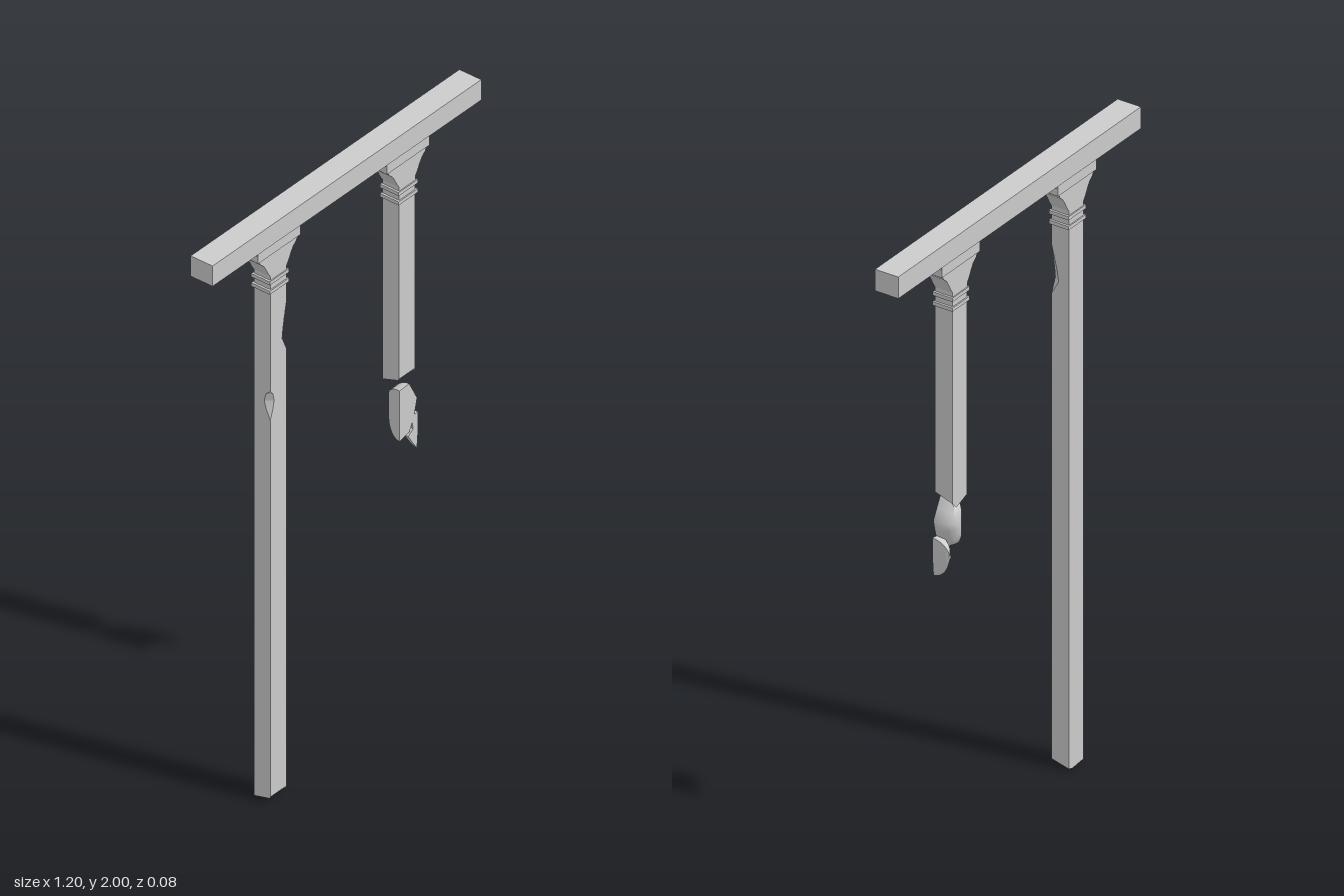
import * as THREE from 'three';
import { toCreasedNormals } from 'three/addons/utils/BufferGeometryUtils.js';

const material = new THREE.MeshStandardMaterial({ color: 0xcccccc });

function add(parent, name, geometry, x = 0, y = 0, z = 0) {
  const mesh = new THREE.Mesh(geometry, material);
  mesh.name = name;
  mesh.position.set(x, y, z);
  parent.add(mesh);
  return mesh;
}

// Skin a list of equal-length rings of [x, y, z] and close both ends
function loft(rings, crease) {
  const pos = [];
  const n = rings[0].length;
  const centre = (r) => [0, 1, 2].map((k) => r.reduce((s, p) => s + p[k], 0) / n);
  const first = rings[0], last = rings[rings.length - 1];
  const c0 = centre(first), c1 = centre(last);
  for (let i = 0; i < n; i++) {
    const k = (i + 1) % n;
    for (let j = 0; j < rings.length - 1; j++) {
      const a = rings[j][i], b = rings[j][k], c = rings[j + 1][k], d = rings[j + 1][i];
      pos.push(...a, ...b, ...c, ...a, ...c, ...d);
    }
    pos.push(...c0, ...first[k], ...first[i], ...c1, ...last[i], ...last[k]);
  }
  const g = new THREE.BufferGeometry();
  g.setAttribute('position', new THREE.Float32BufferAttribute(pos, 3));
  g.computeVertexNormals();
  return toCreasedNormals(g, crease);
}

// Post section with chipped front corners: r and l are chip sizes
const W = 0.036, D = 0.03;
function section(y, r = 0, l = 0) {
  const ys = Array.isArray(y) ? y : Array(7).fill(y);
  return [
    [W, D - r * 1.3], [W, -D], [0.018, -D], [-W, -D],
    [-W, D - l * 1.3], [-W + l, D], [W - r, D],
  ].map(([x, z], i) => [x, ys[i], z]);
}

// Bracket silhouette, mirrored about its centre line
function bracketGeometry(depth) {
  const half = [
    [0.036, 1.80], [0.036, 1.815], [0.046, 1.83], [0.056, 1.85],
    [0.066, 1.866], [0.08, 1.878], [0.086, 1.89], [0.094, 1.895],
    [0.094, 1.915], [0.098, 1.918], [0.098, 1.932],
  ];
  const outline = [...half, ...half.map(([x, y]) => [-x, y]).reverse()];
  const shape = new THREE.Shape(outline.map(([x, y]) => new THREE.Vector2(x, y)));
  const g = new THREE.ExtrudeGeometry(shape, { depth, bevelEnabled: false });
  g.translate(0, 0, -depth / 2);
  return toCreasedNormals(g, 0.5);
}

// Splinter with a flat front and a domed, broken back
function splinter(outline, [ax, ay, az], front) {
  const rings = [];
  const steps = 9;
  for (let j = 0; j <= steps; j++) {
    const a = (j / steps) * Math.PI / 2;
    const s = Math.max(Math.cos(a), 0.02), t = Math.sin(a);
    rings.push(outline.map(([x, y]) => [
      ax + (x - ax) * s, ay + (y - ay) * s, front + (az - front) * t,
    ]));
  }
  return loft(rings, 0.8);
}

export function createModel() {
  const model = new THREE.Group();
  model.name = 'brokenPostFrame';

  add(model, 'topBeam', new THREE.BoxGeometry(1.2, 0.07, 0.08), 0, 1.965, 0);

  // Long post with two chipped edges and a slanted foot
  const longRings = [
    section([0.02, 0.005, 0, 0.005, 0.02, 0.025, 0.025]),
    section(1.32), section(1.355, 0, 0.012), section(1.38, 0, 0.017),
    section(1.405, 0, 0.012), section(1.42),
    section(1.53), section(1.575, 0.019), section(1.61, 0.015),
    section(1.65, 0.008), section(1.69), section(1.93),
  ];
  // Short post, snapped off
  const shortRings = [
    section([1.15, 1.13, 1.11, 1.13, 1.15, 1.155, 1.155]), section(1.93),
  ];

  for (const [name, x, rings] of [['longPost', -0.294, longRings], ['shortPost', 0.281, shortRings]]) {
    const post = new THREE.Group();
    post.name = name;
    post.position.x = x;
    add(post, 'shaft', loft(rings, 0.25));
    add(post, 'bracket', bracketGeometry(0.061));
    add(post, 'bracketCap', new THREE.BoxGeometry(0.19, 0.04, 0.068), 0, 1.912, 0);
    for (const y of [1.796, 1.764]) {
      add(post, 'collar', new THREE.BoxGeometry(0.086, 0.012, 0.068), 0, y, 0);
    }
    model.add(post);
  }

  // Broken pieces hanging below the short post
  add(model, 'largeSplinter', splinter(
    [[0.24, 1.12], [0.283, 1.122], [0.3, 1.09], [0.318, 1.055], [0.31, 1.02],
      [0.302, 0.99], [0.283, 0.955], [0.24, 0.945]],
    [0.275, 1.045, -0.027], 0.036));
  add(model, 'smallSplinter', splinter(
    [[0.296, 1.0], [0.325, 1.003], [0.325, 0.94], [0.32, 0.88], [0.303, 0.905], [0.281, 0.94], [0.303, 0.955]],
    [0.317, 0.955, -0.02], 0.034));

  return model;
}
